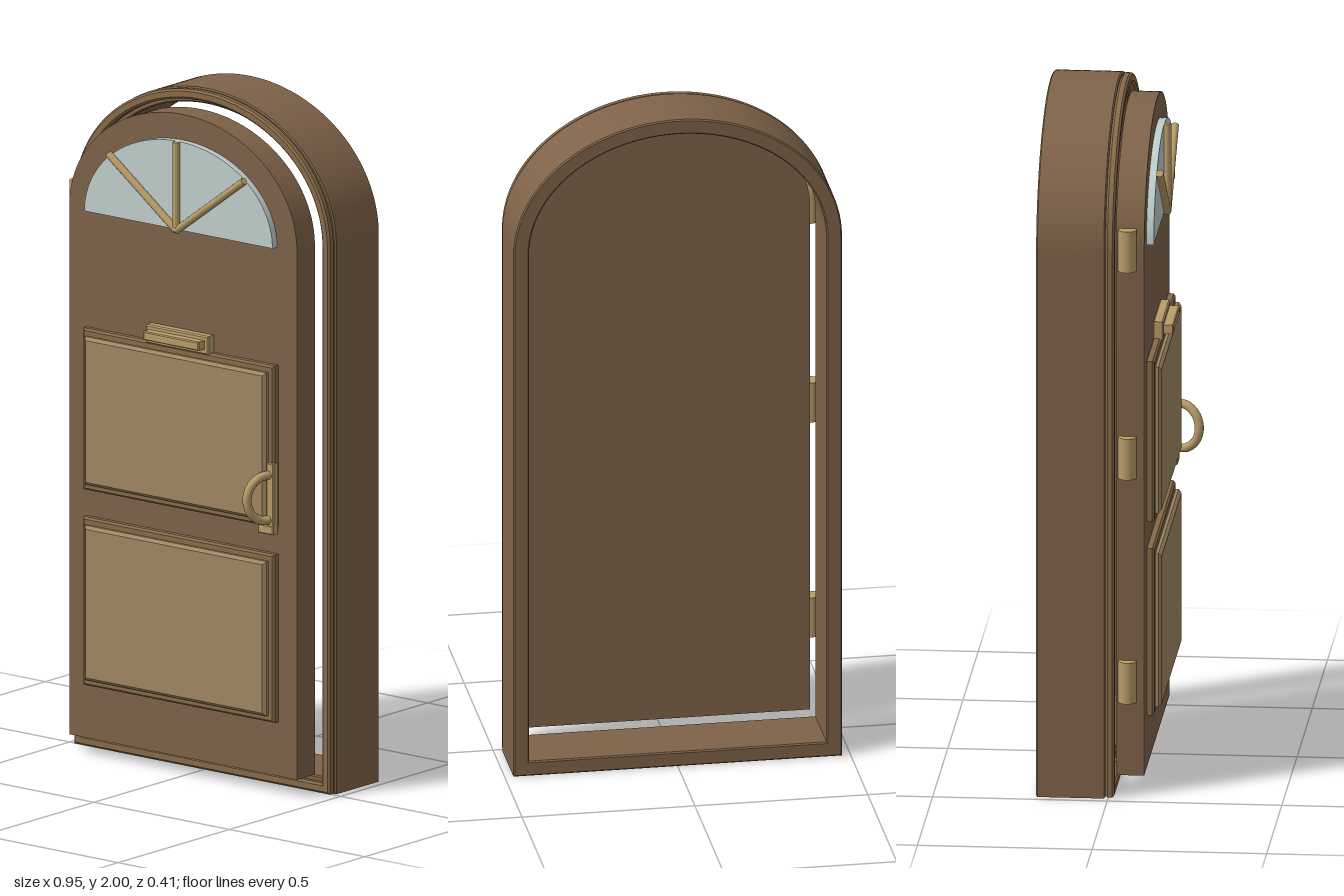
import * as THREE from 'three';
import { toCreasedNormals } from 'three/addons/utils/BufferGeometryUtils.js';

const SPRING = 1.61; // height where every arch begins

const material = (name, color) => {
  const m = new THREE.MeshStandardMaterial({ color });
  m.name = name;
  return m;
};

// Outline with straight sides and a half-elliptical head
function arch(halfWidth, bottom, top) {
  const s = new THREE.Shape();
  s.moveTo(-halfWidth, bottom);
  s.lineTo(halfWidth, bottom);
  if (bottom < SPRING) s.lineTo(halfWidth, SPRING);
  s.absellipse(0, SPRING, halfWidth, top - SPRING, 0, Math.PI, false, 0);
  s.closePath();
  return s;
}

function archRing(outer, inner) {
  const s = arch(...outer);
  s.holes.push(arch(...inner));
  return s;
}

function rect(x0, x1, y0, y1) {
  return new THREE.Shape([[x0, y0], [x1, y0], [x1, y1], [x0, y1]].map(p => new THREE.Vector2(...p)));
}

// Slab between two depths, with optional chamfered edges
function slab(shape, z0, z1, bevel = 0) {
  const g = new THREE.ExtrudeGeometry(shape, {
    depth: z1 - z0 - 2 * bevel, curveSegments: 40,
    bevelEnabled: bevel > 0, bevelSegments: 1,
    bevelSize: bevel, bevelThickness: bevel, bevelOffset: -bevel,
  });
  g.translate(0, 0, z0 + bevel);
  return toCreasedNormals(g, 0.5);
}

export function createModel() {
  const model = new THREE.Group();
  model.name = 'archedDoor';
  const wood = material('door wood', 0x7f6349);
  const trimWood = material('moulding wood', 0x876b4a);
  const panelWood = material('panel wood', 0xa08763);
  const brass = material('brass', 0xb99d69);
  const glass = material('pale glass', 0xbfcfcc);

  const add = (name, geometry, mat, parent = model) => {
    const mesh = new THREE.Mesh(geometry, mat);
    mesh.name = name;
    parent.add(mesh);
    return mesh;
  };

  // Deep surround and the thin trim on its front
  add('frame', slab(archRing([0.475, 0, 2], [0.43, 0.045, 1.955]), -0.206, -0.008, 0.004), wood);
  add('frameTrim', slab(archRing([0.472, 0.003, 1.997], [0.443, 0.032, 1.968]), -0.008, 0.018, 0.006), trimWood);

  // Door leaf, standing proud of the frame
  add('doorLeaf', slab(arch(0.42, 0.055, 1.945), 0.018, 0.099), wood);

  // Two raised panels on mouldings
  for (const [y0, y1] of [[0.215, 0.71], [0.79, 1.265]]) {
    add('panelMoulding', slab(rect(-0.353, 0.353, y0, y1), 0.095, 0.122, 0.006), trimWood);
    add('panel', slab(rect(-0.335, 0.335, y0 + 0.02, y1 - 0.02), 0.115, 0.141, 0.009), panelWood);
  }

  // Fanlight with three radiating bars
  add('fanlightGlass', slab(arch(0.347, SPRING, 1.87), 0.097, 0.12), glass);
  for (const [x, y] of [[-0.25, 1.795], [0, 1.87], [0.25, 1.795]]) {
    const length = Math.hypot(x, y - SPRING);
    const bar = add('fanlightBar', new THREE.CylinderGeometry(0.011, 0.011, length, 12), brass);
    bar.position.set(x / 2, (y + SPRING) / 2, 0.129);
    bar.rotation.z = -Math.atan2(x, y - SPRING);
  }

  // Letter slot
  add('letterPlate', slab(rect(-0.115, 0.115, 1.26, 1.315), 0.097, 0.127, 0.004), brass);
  add('letterFlap', slab(rect(-0.102, 0.102, 1.276, 1.302), 0.12, 0.155, 0.003), brass);

  // Pull handle: backplate, foot and a bow leaning towards the middle
  const handle = new THREE.Group();
  handle.name = 'handle';
  model.add(handle);
  add('handlePlate', slab(rect(0.333, 0.358, 0.77, 0.98), 0.105, 0.13, 0.003), brass, handle);
  add('handleFoot', slab(rect(0.302, 0.358, 0.77, 0.797), 0.105, 0.132, 0.003), brass, handle);
  const bow = new THREE.CatmullRomCurve3([
    [0.341, 0.812, 0.12], [0.33, 0.815, 0.155], [0.318, 0.84, 0.183], [0.313, 0.878, 0.193],
    [0.318, 0.916, 0.183], [0.33, 0.941, 0.155], [0.341, 0.944, 0.12],
  ].map(p => new THREE.Vector3(...p)));
  add('handleBow', new THREE.TubeGeometry(bow, 32, 0.013, 12), brass, handle);

  // Hinge barrels on the model's right edge
  for (const y of [0.335, 1.0, 1.615]) {
    const hinge = add('hinge', new THREE.CylinderGeometry(0.026, 0.026, 0.122, 24), brass);
    hinge.position.set(-0.425, y, 0.051);
  }
  return model;
}
